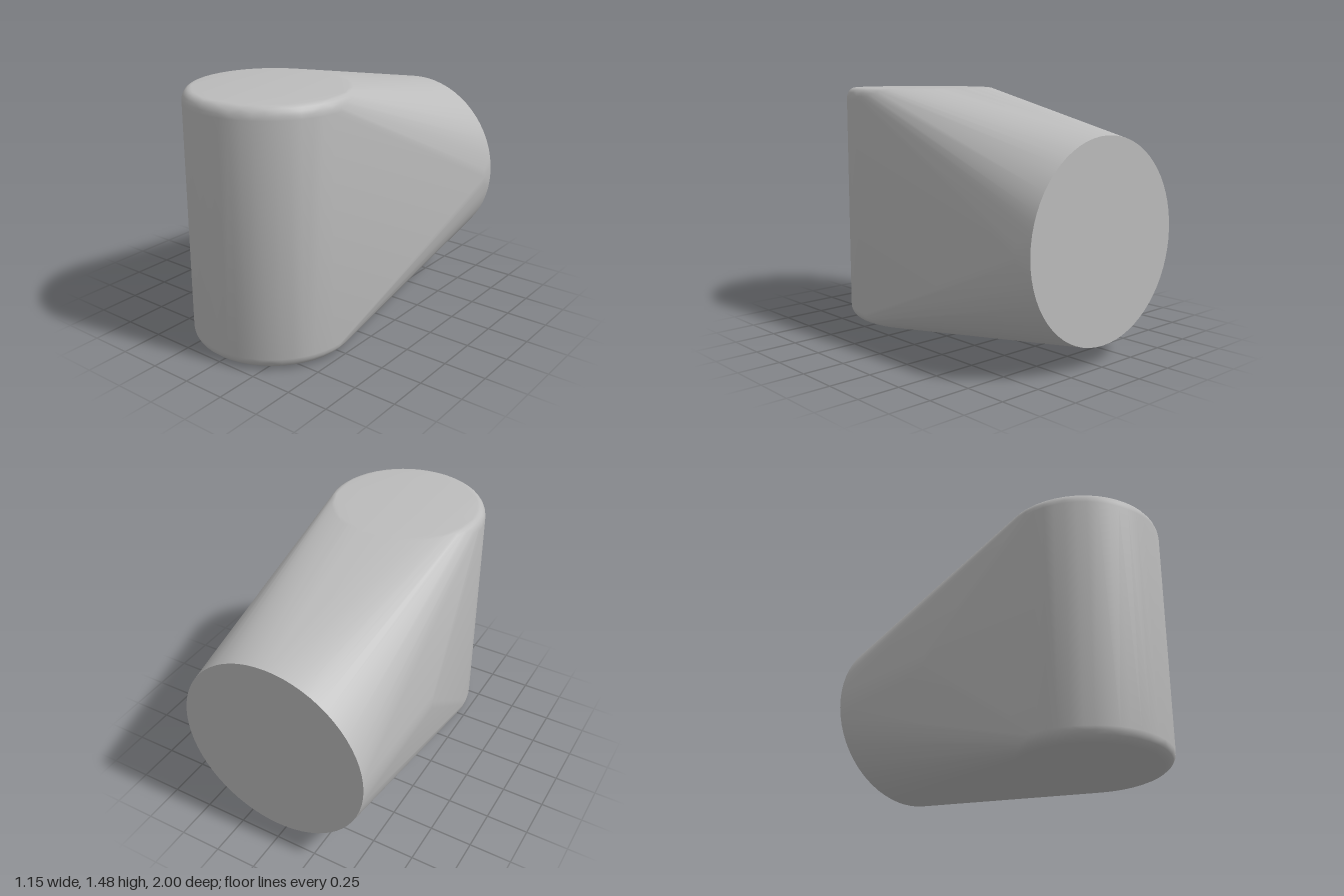
import * as THREE from 'three';
import { ConvexGeometry } from 'three/addons/geometries/ConvexGeometry.js';
import { toCreasedNormals } from 'three/addons/utils/BufferGeometryUtils.js';

export function createModel() {
  const group = new THREE.Group();
  const grey = new THREE.MeshStandardMaterial({ color: 0xbcbcbc });
  grey.name = 'plain grey';

  const points = [];
  const ring = (count, place) => {
    for (let i = 0; i < count; i++) {
      const a = (i / count) * Math.PI * 2;
      points.push(place(Math.cos(a), Math.sin(a)));
    }
  };

  // Upright column with rounded top and bottom rims
  const radius = 0.48, height = 1.48, centreZ = 0.52, steps = 5;
  for (let s = 0; s <= steps; s++) {
    const a = (s / steps) * Math.PI / 2;
    const inset = 1 - Math.cos(a), rise = 0.07 * (1 - Math.sin(a));
    const top = radius - 0.05 * inset, bottom = radius - 0.08 * inset;
    ring(48, (c, n) => new THREE.Vector3(top * c, height - rise, centreZ + top * n));
    ring(48, (c, n) => new THREE.Vector3(bottom * c, rise, centreZ + bottom * n));
  }

  // Flat round end at the back
  ring(64, (c, n) => new THREE.Vector3(-0.004 + 0.57 * c, 0.688 + 0.568 * n, -1));

  // Slight swelling of the two flanks
  for (const dy of [-0.05, 0, 0.05]) {
    const x = 0.576 - Math.abs(dy) * 0.05;
    points.push(new THREE.Vector3(-x, 0.688 + dy, -0.2));
    points.push(new THREE.Vector3(x, 0.688 + dy, -0.9));
  }

  // One skin stretched over column and round end
  const body = new THREE.Mesh(toCreasedNormals(new ConvexGeometry(points), 0.5), grey);
  body.name = 'body';
  group.add(body);
  return group;
}
